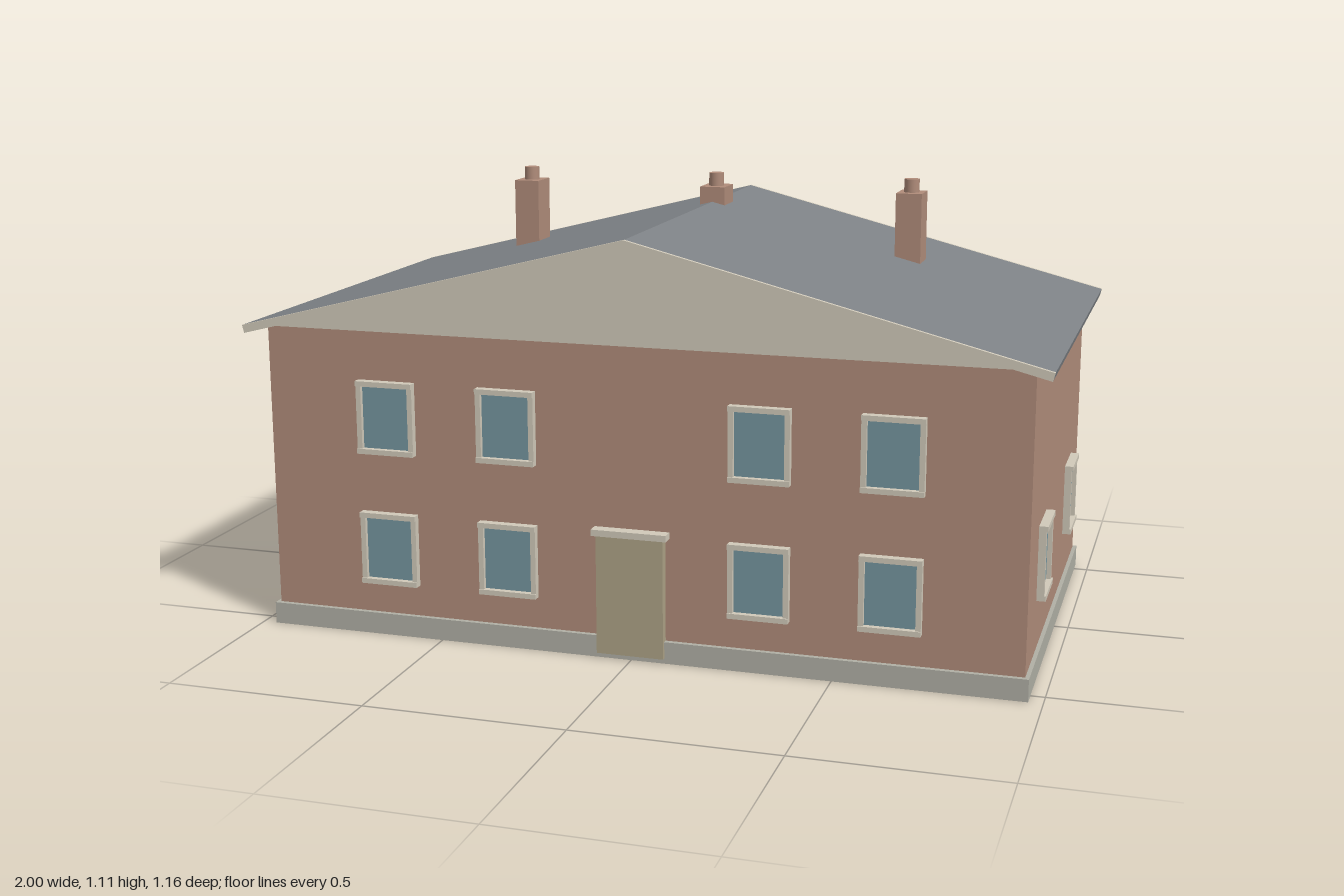
import * as THREE from 'three';

const mat = (color, side = THREE.FrontSide) => new THREE.MeshStandardMaterial({ color, side });

export function createModel() {
  const house = new THREE.Group();
  house.name = 'house';
  const brick = mat(0xb08c7a), trim = mat(0xd0c9b9), stone = mat(0xb0afa5);
  const slate = mat(0x7e8286), glass = mat(0x75959f), doorPaint = mat(0xada286);

  const add = (parent, name, geometry, material, x = 0, y = 0, z = 0) => {
    const mesh = new THREE.Mesh(geometry, material);
    mesh.name = name;
    mesh.position.set(x, y, z);
    parent.add(mesh);
    return mesh;
  };
  const box = (parent, name, material, w, h, d, x, y, z) =>
    add(parent, name, new THREE.BoxGeometry(w, h, d), material, x, y, z);
  // Flat outline in x/y, pulled along z from z0 to z1
  const prism = (name, points, z0, z1, material) => {
    const shape = new THREE.Shape(points.map(([x, y]) => new THREE.Vector2(x, y)));
    const geometry = new THREE.ExtrudeGeometry(shape, { depth: z1 - z0, bevelEnabled: false });
    return add(house, name, geometry, material, 0, 0, z0);
  };

  // Body
  box(house, 'plinth', stone, 1.93, 0.055, 1.085, 0, 0.0275, 0);
  box(house, 'walls', brick, 1.91, 0.725, 1.06, 0, 0.4165, 0);
  prism('gable', [[-0.955, 0.779], [0.955, 0.779], [0, 1.021]], -0.53, 0.53, trim);

  // Roof slopes, with a pale bargeboard along each gable end
  for (const s of [-1, 1]) {
    const slope = [[0, 1.02], [0, 1.04], [s, 0.787], [s * 0.995, 0.767]];
    if (s < 0) slope.reverse();
    prism('roofSlope', slope, -0.569, 0.569, slate);
    prism('frontBargeboard', slope, 0.569, 0.579, trim);
    prism('backBargeboard', slope, -0.579, -0.569, trim);
  }

  // Window facing +z with its back on z = 0
  const makeWindow = () => {
    const win = new THREE.Group();
    win.name = 'window';
    const w = 0.15, h = 0.185, b = 0.013;
    box(win, 'glass', glass, w - b, h - b, 0.008, 0, 0, 0.003);
    for (const s of [-1, 1]) {
      box(win, 'frameSide', trim, b, h - 2 * b, 0.018, s * (w - b) / 2, 0, 0.009);
      box(win, s > 0 ? 'windowHead' : 'windowSill', trim, w, b, 0.022, 0, s * (h - b) / 2, 0.011);
    }
    return win;
  };
  const placeWindow = (parent, x, y, z, turn = 0) => {
    const win = makeWindow();
    win.position.set(x, y, z);
    win.rotation.y = turn;
    parent.add(win);
  };

  // Matching front and back: eight windows and a door each
  for (const name of ['frontFacade', 'backFacade']) {
    const facade = new THREE.Group();
    facade.name = name;
    for (const x of [-0.637, -0.319, 0.319, 0.637])
      for (const y of [0.227, 0.564]) placeWindow(facade, x, y, 0.53);
    box(facade, 'door', doorPaint, 0.17, 0.3, 0.035, 0, 0.164, 0.536);
    box(facade, 'doorLintel', trim, 0.19, 0.016, 0.04, 0, 0.322, 0.541);
    if (name === 'backFacade') facade.rotation.y = Math.PI;
    house.add(facade);
  }

  // Two windows on the left wall only
  for (const z of [-0.286, 0.286]) placeWindow(house, 0.955, 0.278, z, Math.PI / 2);

  // Chimneys with round pots
  for (const x of [-0.53, 0, 0.53]) {
    const chimney = new THREE.Group();
    chimney.name = 'chimney';
    chimney.position.set(x, 0, -0.211);
    box(chimney, 'stack', brick, 0.068, 0.185, 0.085, 0, 0.987, 0);
    add(chimney, 'pot', new THREE.CylinderGeometry(0.02, 0.02, 0.036, 24), brick, 0, 1.096, 0);
    house.add(chimney);
  }
  return house;
}
